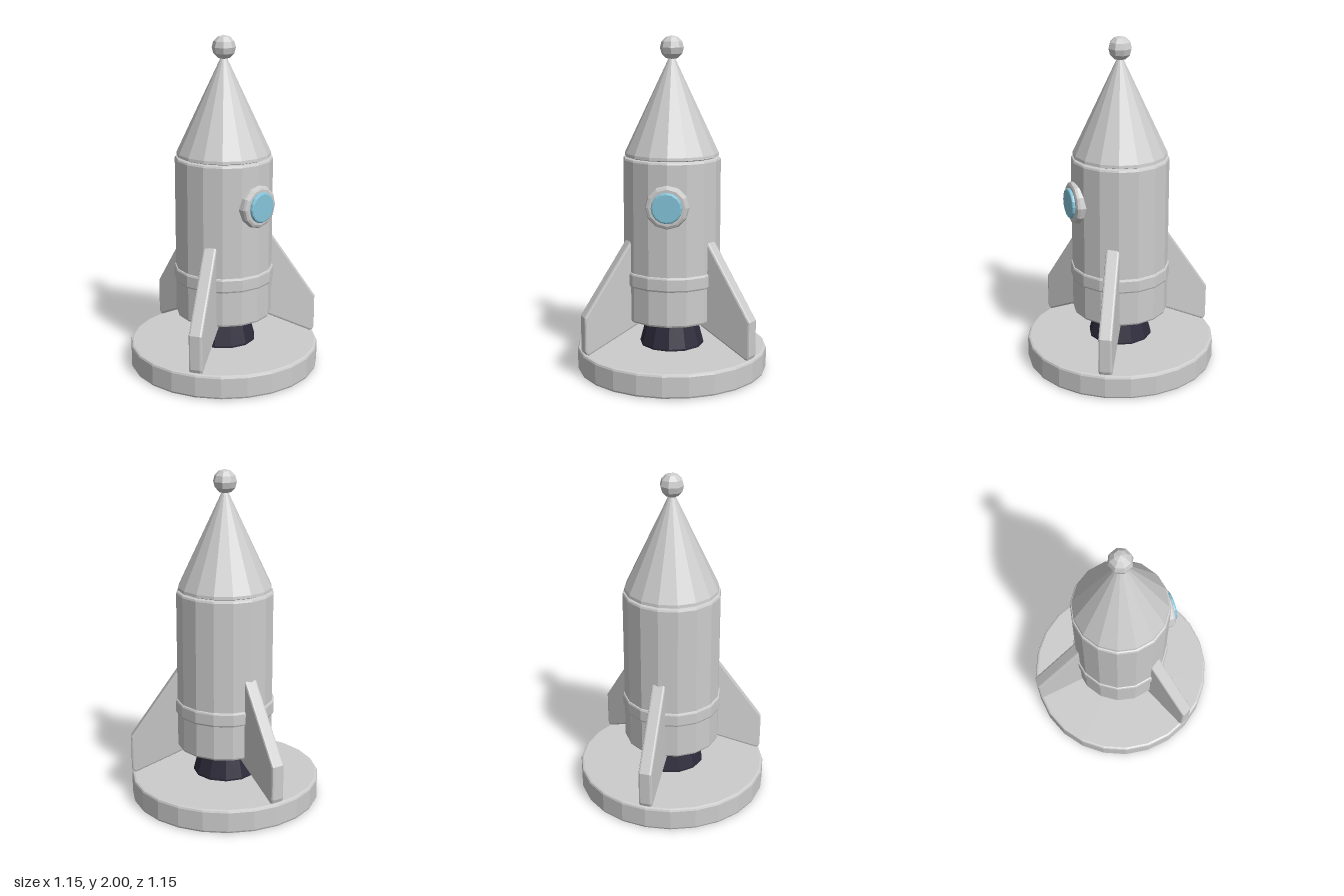
import * as THREE from 'three';

const material = (name, color) => {
  const m = new THREE.MeshStandardMaterial({ color, flatShading: true });
  m.name = name;
  return m;
};

// Faceted solid of revolution with chamfered rims, from y0 (radius r0) to y1 (radius r1)
function turned(name, mat, sides, r0, y0, r1, y1, bevel) {
  const k = bevel * 0.3;
  const taper = (r1 - r0) / (y1 - y0);
  const points = [
    [0, y0], [r0 - bevel, y0], [r0 - k, y0 + k], [r0 + taper * bevel, y0 + bevel],
    [r1 - taper * bevel, y1 - bevel], [r1 - k, y1 - k], [r1 - bevel, y1], [0, y1],
  ].map(([x, y]) => new THREE.Vector2(Math.max(x, 0), y));
  const mesh = new THREE.Mesh(new THREE.LatheGeometry(points, sides), mat);
  mesh.name = name;
  return mesh;
}

export function createModel() {
  const model = new THREE.Group();
  model.name = 'rocket';
  const grey = material('light grey', 0xcccccc);
  const dark = material('dark nozzle', 0x2d2b3b);
  const blue = material('window blue', 0x84c4da);

  // Launch base, engine, hull and band
  model.add(turned('base', grey, 24, 0.575, 0, 0.575, 0.145, 0.015));
  model.add(turned('nozzle', dark, 12, 0.197, 0.145, 0.147, 0.335, 0.015));
  model.add(turned('body', grey, 16, 0.29, 0.322, 0.29, 1.297, 0.015));
  model.add(turned('band', grey, 16, 0.3, 0.537, 0.3, 0.627, 0.013));

  // Nose cone with a rounded lower rim
  const conePoints = [[0, 1.297], [0.265, 1.297], [0.28, 1.303], [0.278, 1.32], [0.016, 1.875], [0, 1.89]];
  const nose = new THREE.Mesh(
    new THREE.LatheGeometry(conePoints.map(([x, y]) => new THREE.Vector2(x, y)), 16), grey);
  nose.name = 'noseCone';
  model.add(nose);

  // Ball on the tip
  const ball = new THREE.Mesh(new THREE.SphereGeometry(0.07, 8, 6), grey);
  ball.name = 'tipBall';
  ball.position.y = 1.93;
  model.add(ball);

  // Round window on the front
  const porthole = new THREE.Group();
  porthole.name = 'window';
  porthole.add(turned('windowFrame', grey, 12, 0.127, 0.225, 0.127, 0.312, 0.02));
  porthole.add(turned('windowGlass', blue, 16, 0.09, 0.29, 0.09, 0.33, 0.01));
  porthole.rotation.x = Math.PI / 2;
  porthole.position.y = 1.04;
  model.add(porthole);

  // Three swept fins, one at the back and two toward the front
  const outline = [[0.235, 0.3], [0.55, 0.147], [0.568, 0.155], [0.575, 0.175], [0.575, 0.38], [0.285, 0.81], [0.235, 0.82]];
  const bevel = 0.012;
  const finGeometry = new THREE.ExtrudeGeometry(
    new THREE.Shape(outline.map(([x, y]) => new THREE.Vector2(x, y))), {
      depth: 0.08 - 2 * bevel, bevelEnabled: true, bevelThickness: bevel,
      bevelSize: bevel, bevelOffset: -bevel, bevelSegments: 2,
    });
  finGeometry.translate(0, 0, -0.04 + bevel);
  [['backFin', 90], ['leftFin', -30], ['rightFin', 210]].forEach(([name, angle]) => {
    const fin = new THREE.Mesh(finGeometry, grey);
    fin.name = name;
    fin.rotation.y = THREE.MathUtils.degToRad(angle);
    model.add(fin);
  });

  return model;
}
